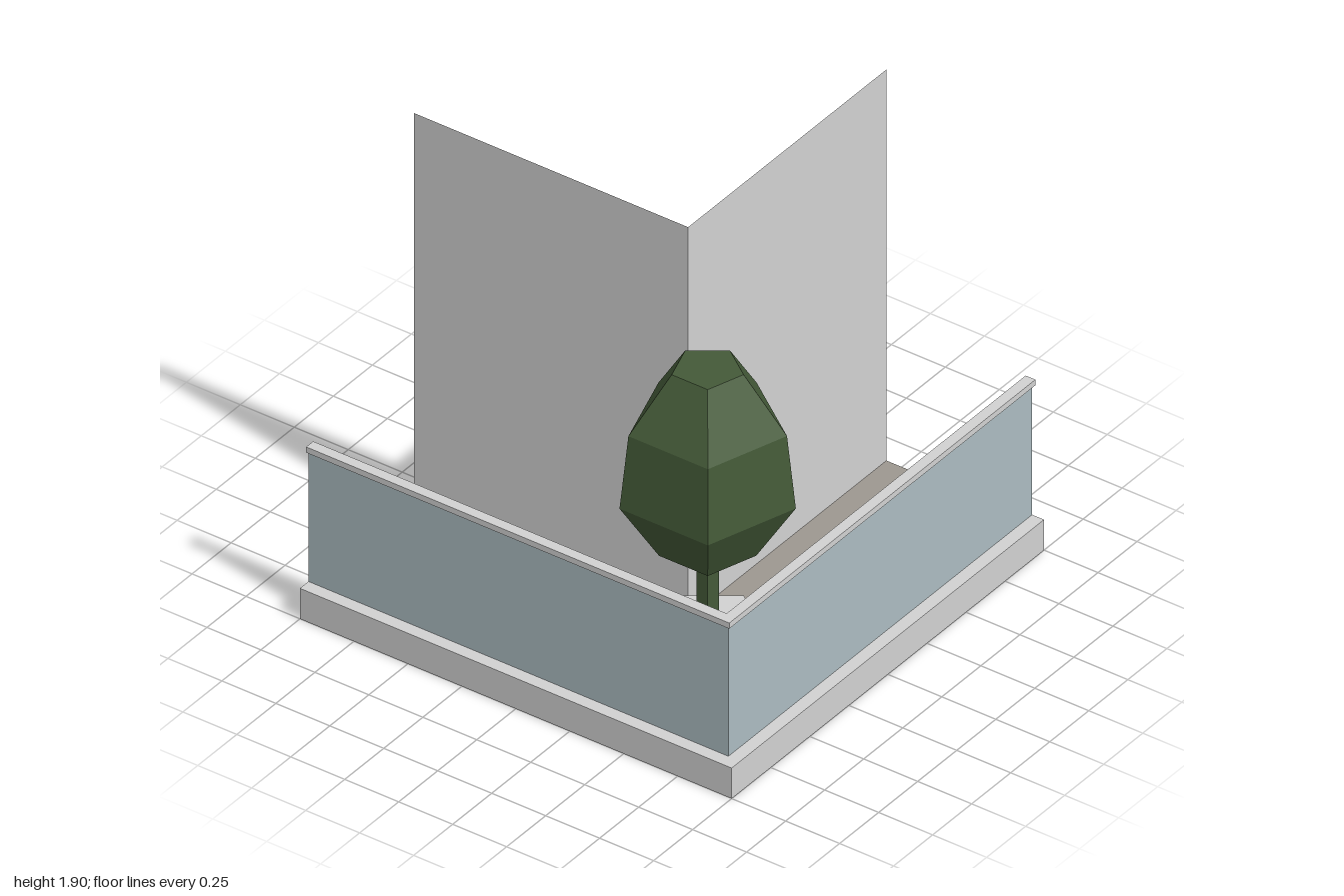
import * as THREE from 'three';

const mat = (name, color) => {
  const m = new THREE.MeshStandardMaterial({ color, side: THREE.DoubleSide });
  m.name = name;
  return m;
};

// Sweeps a profile of [offset, height] points along the L-shaped terrace.
// The offset is the distance of both arms from the origin (z = d and x = -d).
function sweepL(profile, closed = false) {
  const pos = [];
  const stations = ([d, y]) => [[1, y, d], [-d, y, d], [-d, y, -1]];
  const tri = (a, b, c) => pos.push(...a, ...b, ...c);
  const pts = profile.map(stations);
  const n = pts.length;
  for (let i = 0; i < (closed ? n : n - 1); i++) {
    const p = pts[i], q = pts[(i + 1) % n];
    for (let s = 0; s < 2; s++) {
      tri(p[s], p[s + 1], q[s + 1]);
      tri(p[s], q[s + 1], q[s]);
    }
  }
  // end caps of solid profiles
  if (closed) {
    for (let i = 1; i < n - 1; i++) {
      tri(pts[0][0], pts[i][0], pts[i + 1][0]);
      tri(pts[0][2], pts[i + 1][2], pts[i][2]);
    }
  }
  const g = new THREE.BufferGeometry();
  g.setAttribute('position', new THREE.Float32BufferAttribute(pos, 3));
  g.computeVertexNormals();
  return g;
}

const bar = (d0, d1, y0, y1) => sweepL([[d1, y0], [d1, y1], [d0, y1], [d0, y0]], true);

// Faceted five-sided turned shape with one corner towards +x
function faceted(profile) {
  const pts = profile.map(([r, y]) => new THREE.Vector2(r, y));
  const g = new THREE.LatheGeometry(pts, 5, Math.PI / 2).toNonIndexed();
  g.computeVertexNormals();
  return g;
}

export function createModel() {
  const model = new THREE.Group();
  model.name = 'cornerBalcony';
  const concrete = mat('lightGrey', 0xd2d2d2);
  const glass = mat('blueGreyGlass', 0xacbcc1);
  const paving = mat('warmGreyFloor', 0x9d9890);
  const soffit = mat('tan', 0xb8a682);
  const leaf = mat('darkGreen', 0x445a38);

  const add = (parent, name, geometry, material) => {
    const mesh = new THREE.Mesh(geometry, material);
    mesh.name = name;
    parent.add(mesh);
  };

  // hollow slab: kerb shell, floor and underside
  add(model, 'kerb', sweepL([[0.97, 0], [1, 0], [1, 0.14], [0.915, 0.14], [0.915, 0.11]]), concrete);
  add(model, 'floor', sweepL([[0.915, 0.11], [0.23, 0.11]]), paving);
  add(model, 'underside', sweepL([[0.97, 0], [0.23, 0]]), soffit);

  // building walls with a ledge on their inner side
  add(model, 'walls', sweepL([[0.27, 0.11], [0.27, 1.905]]), concrete);
  add(model, 'wallLedge', sweepL([[0.27, 1.72], [0.23, 1.72]]), concrete);

  // railing
  add(model, 'glassPanels', bar(0.93, 0.945, 0.14, 0.742), glass);
  add(model, 'handrail', bar(0.915, 0.96, 0.74, 0.766), concrete);

  // potted tree
  const tree = new THREE.Group();
  tree.name = 'pottedTree';
  tree.position.set(-0.608, 0, 0.605);
  add(tree, 'pot', faceted([[0, 0.112], [0.23, 0.112], [0.23, 0.415], [0, 0.415]]), concrete);
  add(tree, 'trunk', faceted([[0.044, 0.41], [0.044, 0.78]]), leaf);
  add(tree, 'crown', faceted([
    [0, 0.77], [0.192, 0.77], [0.348, 1.02], [0.313, 1.345], [0.142, 1.59], [0, 1.59],
  ]), leaf);
  model.add(tree);
  return model;
}
